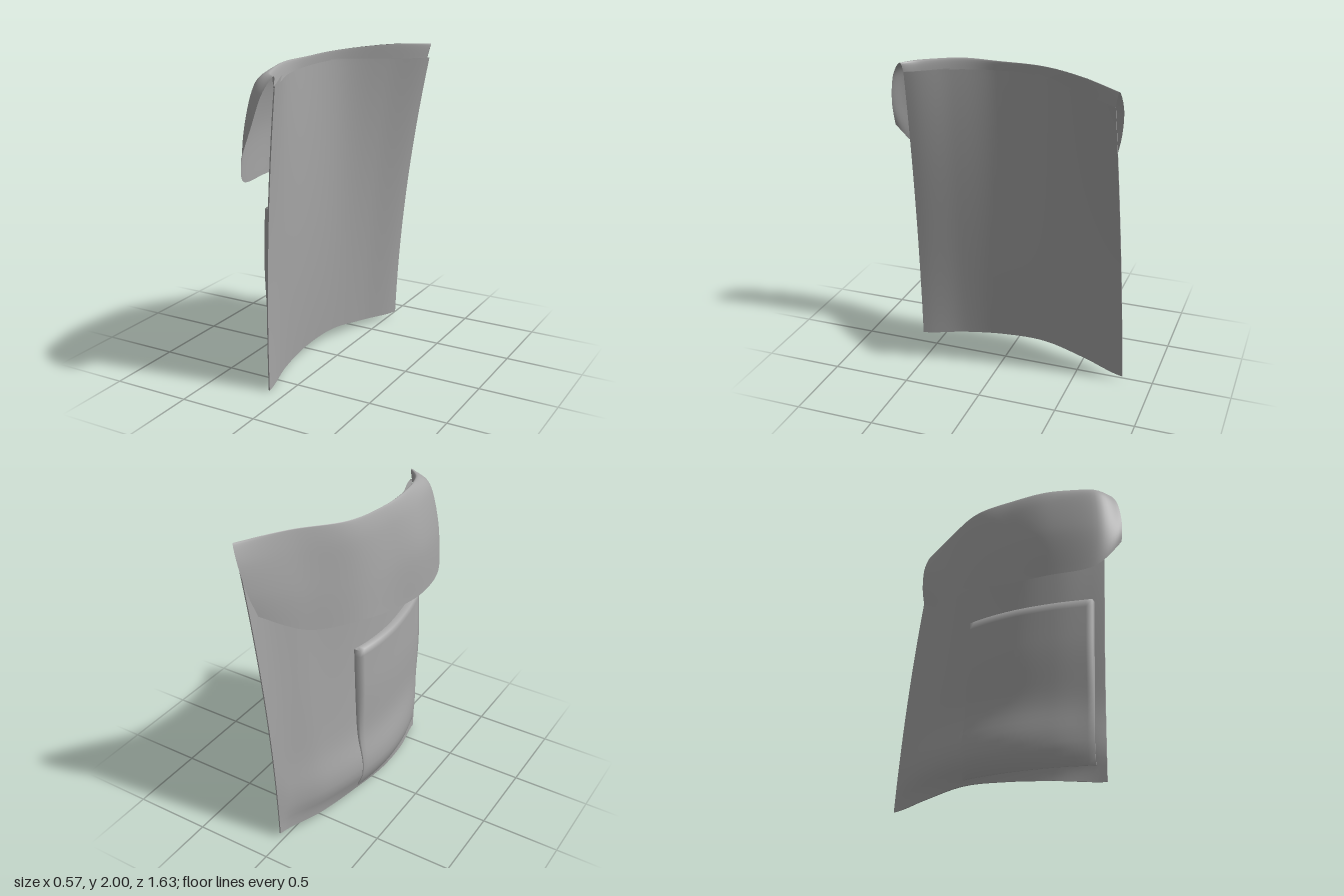
import * as THREE from 'three';

// Grid surface from a rule p(u, v) -> [x, y, z]
function surface(name, material, nu, nv, p) {
  const pos = [], index = [];
  for (let j = 0; j <= nv; j++)
    for (let i = 0; i <= nu; i++) pos.push(...p(i / nu, j / nv));
  for (let j = 0; j < nv; j++)
    for (let i = 0; i < nu; i++) {
      const a = j * (nu + 1) + i, b = a + 1, c = a + nu + 1, d = c + 1;
      index.push(a, b, c, b, d, c);
    }
  const g = new THREE.BufferGeometry();
  g.setAttribute('position', new THREE.Float32BufferAttribute(pos, 3));
  g.setIndex(index);
  g.computeVertexNormals();
  const mesh = new THREE.Mesh(g, material);
  mesh.name = name;
  return mesh;
}

const lerp = THREE.MathUtils.lerp;
const smooth = THREE.MathUtils.smoothstep;

// Smooth interpolation through evenly spaced values
function spline(values, t) {
  const n = values.length - 1;
  const f = Math.min(Math.max(t, 0), 1) * n;
  const i = Math.min(Math.floor(f), n - 1), w = f - i;
  const at = (k) => values[Math.min(Math.max(k, 0), n)];
  const m0 = (at(i + 1) - at(i - 1)) / 2, m1 = (at(i + 2) - at(i)) / 2;
  const w2 = w * w, w3 = w2 * w;
  return (2 * w3 - 3 * w2 + 1) * at(i) + (w3 - 2 * w2 + w) * m0
    + (3 * w2 - 2 * w3) * at(i + 1) + (w3 - w2) * m1;
}

// Curved sheet of the bag: x at the bottom, middle and top, from front edge to back edge
const ROWS = [
  [-0.11, -0.175, -0.2, -0.17, -0.09, 0.03],
  [-0.09, -0.13, -0.145, -0.11, -0.01, 0.115],
  [-0.015, -0.11, -0.145, -0.08, 0.11, 0.28],
];
const BOTTOM = [0, 0.025, 0.05, 0.07, 0.045, 0.03];
const TOP = [1.89, 1.91, 1.92, 1.93, 1.91, 1.895];

function sheet(s, y) {
  const h = y / 1.9;
  const [a, b, c] = ROWS.map((r) => spline(r, s));
  const x = a * (1 - h) * (1 - 2 * h) + b * 4 * h * (1 - h) + c * h * (2 * h - 1);
  return [x, y, lerp(lerp(0.65, 0.68, h), lerp(-0.81, -0.745, h), s)];
}

// Gap between the two panels, swelling near the bottom
function gap(s, y) {
  const side = Math.pow(Math.max(0, Math.sin(Math.PI * s)), 0.6);
  const swell = 0.035 * Math.exp(-(((y - 0.28) / 0.16) ** 2));
  return (0.03 + swell) * side * smooth(y, 0.04, 0.2) + 0.008;
}

const heightAt = (s, v) => lerp(spline(BOTTOM, s), spline(TOP, s), v);

function outerPoint(s, y, extra = 0) {
  const [x, , z] = sheet(s, y);
  return [x - gap(s, y) - extra, y, z];
}

// Flap cross-sections, front edge to back edge, each running from the seam over the ridge to the hem
const FLAP = [
  [[-0.03, 1.86, 0.68], [-0.01, 1.95, 0.7], [-0.05, 1.85, 0.77], [-0.1, 1.66, 0.81], [-0.16, 1.49, 0.82]],
  [[-0.08, 1.87, 0.58], [-0.1, 1.955, 0.6], [-0.17, 1.88, 0.66], [-0.225, 1.6, 0.69], [-0.25, 1.31, 0.67]],
  [[-0.14, 1.88, 0.36], [-0.165, 1.975, 0.36], [-0.225, 1.86, 0.37], [-0.28, 1.6, 0.38], [-0.29, 1.29, 0.38]],
  [[-0.165, 1.88, 0.1], [-0.165, 1.975, 0.1], [-0.205, 1.86, 0.1], [-0.245, 1.6, 0.1], [-0.26, 1.31, 0.1]],
  [[-0.115, 1.89, -0.2], [-0.105, 1.985, -0.2], [-0.14, 1.86, -0.2], [-0.175, 1.6, -0.2], [-0.2, 1.36, -0.2]],
  [[0.08, 1.89, -0.5], [0.1, 2.0, -0.5], [0.06, 1.86, -0.5], [0.01, 1.62, -0.5], [-0.02, 1.39, -0.5]],
  [[0.26, 1.89, -0.74], [0.28, 1.985, -0.765], [0.24, 1.87, -0.785], [0.2, 1.7, -0.77], [0.16, 1.54, -0.73]],
];

function flapPoint(u, v) {
  return [0, 1, 2].map((k) => spline(FLAP.map((row) => spline(row.map((q) => q[k]), v)), u));
}

export function createModel() {
  const group = new THREE.Group();
  group.name = 'pouch';
  const cloth = new THREE.MeshStandardMaterial({ color: 0xa6a6a6, side: THREE.DoubleSide });
  cloth.name = 'grey cloth';

  // Two main panels, open along the top
  group.add(surface('innerPanel', cloth, 40, 40, (u, v) => sheet(u, heightAt(u, v))));
  group.add(surface('outerPanel', cloth, 40, 40, (u, v) => outerPoint(u, heightAt(u, v))));

  // Narrow seams closing the sides and the bottom
  for (const [name, s] of [['frontSeam', 0], ['backSeam', 1]])
    group.add(surface(name, cloth, 1, 40, (u, v) => {
      const y = heightAt(s, v);
      return u ? outerPoint(s, y) : sheet(s, y);
    }));
  group.add(surface('bottomSeam', cloth, 40, 1, (u, v) => {
    const y = heightAt(u, 0);
    return v ? outerPoint(u, y) : sheet(u, y);
  }));

  // Patch pocket: a raised skin with a steep rim
  const n = 24;
  const ring = (t) => {
    const i = Math.round(t * n);
    return i <= 1 ? 0 : i >= n - 1 ? 1 : (i - 1) / (n - 2);
  };
  group.add(surface('pocket', cloth, n, n, (u, v) => {
    const s = lerp(0.04, 0.6, ring(u)), y = lerp(0.1, lerp(1.15, 1.13, u), ring(v));
    const rim = u === 0 || u === 1 || v === 0 || v === 1;
    return outerPoint(s, y, rim ? 0 : 0.008 + 0.034 * smooth(y, 0.2, 0.9));
  }));

  // Flap folded over the top
  group.add(surface('flap', cloth, 48, 32, flapPoint));
  return group;
}
